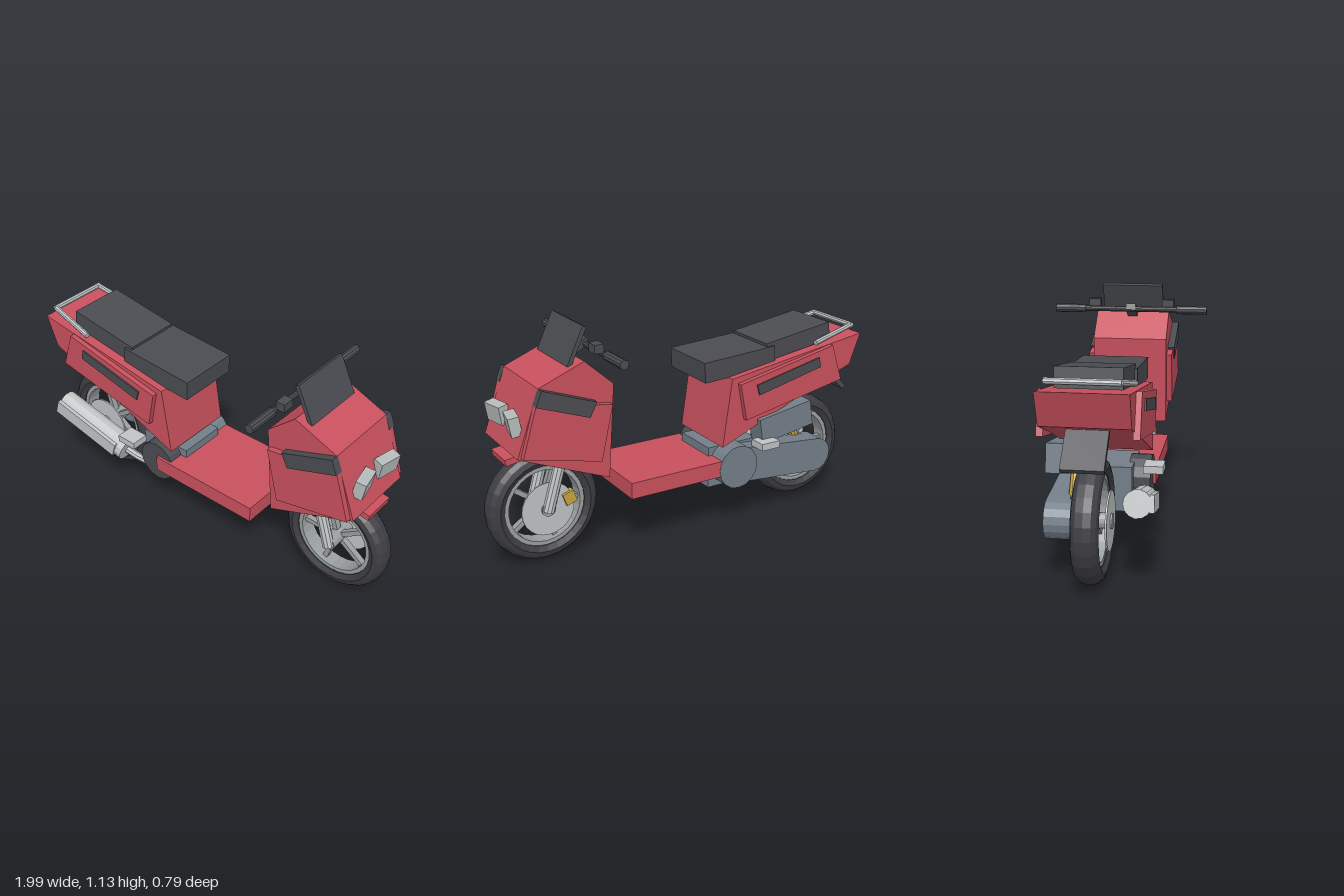
import * as THREE from 'three';

const mat = (name, color) => {
  const m = new THREE.MeshStandardMaterial({ color });
  m.name = name;
  return m;
};

export function createModel() {
  const red = mat('red paint', 0xc8505d);
  const dark = mat('dark trim', 0x4b4c51);
  const rubber = mat('tyre rubber', 0x3e3e43);
  const grey = mat('engine grey', 0x737e89);
  const light = mat('bright metal', 0xbfc3c4);
  const steel = mat('wheel steel', 0x9a9fa0);
  const lamp = mat('lamp glass', 0xb4bab9);
  const gold = mat('gold', 0xc6a43e);

  const model = new THREE.Group();
  model.name = 'scooter';

  const add = (name, geo, m, pos = [0, 0, 0], parent = model) => {
    const flat = geo.index ? geo.toNonIndexed() : geo;
    flat.computeVertexNormals(); // faceted look
    const mesh = new THREE.Mesh(flat, m);
    mesh.name = name;
    mesh.position.set(...pos);
    parent.add(mesh);
    return mesh;
  };
  const box = (name, m, size, pos, tilt = 0, parent = model) => {
    const mesh = add(name, new THREE.BoxGeometry(...size), m, pos, parent);
    mesh.rotation.z = tilt;
    return mesh;
  };
  // side outline extruded across the vehicle from z0 to z1
  const slab = (name, m, pts, z0, z1) => {
    const shape = new THREE.Shape(pts.map((p) => new THREE.Vector2(...p)));
    const geo = new THREE.ExtrudeGeometry(shape, { depth: z1 - z0, bevelEnabled: false });
    return add(name, geo, m, [0, 0, z0]);
  };
  // cylinder between two points
  const rod = (name, m, a, b, r0, r1 = r0, sides = 10, parent = model) => {
    const A = new THREE.Vector3(...a), B = new THREE.Vector3(...b);
    const d = B.clone().sub(A);
    const mesh = add(name, new THREE.CylinderGeometry(r1, r0, d.length(), sides), m, [0, 0, 0], parent);
    mesh.position.copy(A.add(B).multiplyScalar(0.5));
    mesh.quaternion.setFromUnitVectors(new THREE.Vector3(0, 1, 0), d.normalize());
    return mesh;
  };

  // Wheels: tyre, rim, hub, five spokes and a brake disc on one side
  const ring = (pts) => {
    const geo = new THREE.LatheGeometry(pts.map((p) => new THREE.Vector2(...p)), 28);
    return geo.rotateX(Math.PI / 2);
  };
  const wheel = (name, x, discSide) => {
    const g = new THREE.Group();
    g.name = name;
    g.position.set(x, 0.275, 0);
    model.add(g);
    add('tyre', ring([[0.198, -0.045], [0.225, -0.06], [0.25, -0.052], [0.267, -0.033], [0.273, 0],
      [0.267, 0.033], [0.25, 0.052], [0.225, 0.06], [0.198, 0.045], [0.198, -0.045]]), rubber, [0, 0, 0], g);
    add('rim', ring([[0.178, -0.04], [0.203, -0.04], [0.203, 0.04], [0.178, 0.04], [0.178, -0.04]]),
      steel, [0, 0, 0], g);
    rod('hub', steel, [0, 0, -0.085], [0, 0, 0.085], 0.035, 0.035, 12, g);
    for (let i = 0; i < 5; i++) {
      const a = Math.PI * (0.2 + 0.4 * i);
      box('spoke', steel, [0.17, 0.024, 0.03], [Math.cos(a) * 0.1, Math.sin(a) * 0.1, 0], a, g);
    }
    const z = 0.073 * discSide;
    rod('brakeDisc', light, [0, 0, z - 0.004], [0, 0, z + 0.004], 0.13, 0.13, 24, g);
  };
  wheel('frontWheel', 0.72, -1);
  wheel('rearWheel', -0.727, 1);
  box('frontCaliper', gold, [0.055, 0.06, 0.035], [0.615, 0.31, -0.073], -0.35);

  // Front shield, floor and tail
  slab('frontShield', red, [[0.43, 0.86], [0.46, 0.415], [0.9, 0.595], [0.79, 0.898], [0.57, 0.985]], -0.19, 0.19);
  box('floorBoard', red, [0.595, 0.08, 0.428], [0.062, 0.33, 0]);
  slab('tailBody', red, [[-0.985, 0.885], [-0.925, 0.73], [-0.72, 0.655], [-0.155, 0.43], [-0.205, 0.77]], -0.19, 0.19);
  box('frontFender', red, [0.17, 0.03, 0.16], [0.83, 0.555, 0], -0.15);
  box('mudFlap', dark, [0.25, 0.025, 0.18], [-0.895, 0.652, 0], 0.75);

  // Raised side panels and dark insets
  for (const s of [1, -1]) {
    const pair = (name, m, pts, inner, outer) =>
      slab(name, m, pts, s > 0 ? inner : -outer, s > 0 ? outer : -inner);
    pair('shieldPanel', red, [[0.45, 0.775], [0.51, 0.515], [0.885, 0.6], [0.815, 0.83]], 0.185, 0.218);
    pair('shieldInset', dark, [[0.53, 0.802], [0.565, 0.735], [0.818, 0.828], [0.79, 0.898]], 0.185, 0.225);
    pair('tailPanel', red, [[-0.79, 0.855], [-0.853, 0.668], [-0.275, 0.556], [-0.238, 0.743]], 0.185, 0.215);
    pair('tailInset', dark, [[-0.703, 0.807], [-0.714, 0.757], [-0.345, 0.674], [-0.33, 0.727]], 0.21, 0.222);

    // Headlights, fork legs, grips, switches, pegs, rail sides
    const head = box('headlight', lamp, [0.05, 0.088, 0.115], [0.872, 0.725, s * 0.086], -0.17);
    head.rotation.set(0, s * 0.2, -0.17);
    rod('forkLeg', light, [0.725, 0.265, s * 0.087], [0.625, 0.6, s * 0.087], 0.028);
    rod('grip', dark, [0.483, 1.008, s * 0.238], [0.483, 1.008, s * 0.395], 0.022);
    box('switchBox', dark, [0.045, 0.04, 0.06], [0.512, 1.038, s * 0.192]);
    box('footPeg', light, [0.105, 0.035, 0.09], [-0.388, 0.418, s * 0.223]);
    rod('railSide', light, [-0.955, 0.923, s * 0.148], [-0.71, 0.87, s * 0.175], 0.014, 0.014, 8);
  }
  rod('railRear', light, [-0.955, 0.923, -0.155], [-0.955, 0.923, 0.155], 0.014, 0.014, 8);

  // Handlebar and windscreen
  rod('handlebar', dark, [0.483, 1.008, -0.25], [0.483, 1.008, 0.25], 0.014);
  box('stem', dark, [0.13, 0.035, 0.05], [0.525, 0.993, 0], -0.48);
  box('windscreen', dark, [0.02, 0.19, 0.315], [0.588, 1.043, 0], 0.44);

  // Two-part seat
  box('rearSeat', dark, [0.385, 0.09, 0.285], [-0.631, 0.882, 0], -0.148);
  box('frontSeat', dark, [0.405, 0.1, 0.31], [-0.275, 0.823, 0], -0.06);

  // Engine, clutch cover and drive case
  box('engineBlock', grey, [0.28, 0.21, 0.245], [-0.257, 0.308, 0]);
  rod('clutchCover', dark, [-0.247, 0.33, 0.1], [-0.247, 0.33, 0.2], 0.105, 0.105, 14);
  const F = [-0.235, 0.32, 0.11], R = [-0.727, 0.275, 0.088];
  rod('caseFront', grey, [F[0], F[1], -0.216], [F[0], F[1], -0.11], F[2], F[2], 16);
  rod('caseRear', grey, [R[0], R[1], -0.2], [R[0], R[1], -0.08], R[2], R[2], 16);
  slab('driveCase', grey, [[R[0], R[1] - R[2]], [F[0], F[1] - 0.09], [F[0], F[1] + 0.09], [R[0], R[1] + R[2]]], -0.2, -0.1);
  box('airFilter', grey, [0.31, 0.13, 0.1], [-0.52, 0.5, -0.165], -0.16);
  rod('shockSpring', gold, [-0.68, 0.33, -0.09], [-0.52, 0.62, -0.09], 0.027);
  rod('shockRod', light, [-0.7, 0.29, -0.09], [-0.5, 0.655, -0.09], 0.012);

  // Exhaust
  rod('muffler', light, [-0.885, 0.41, 0.208], [-0.465, 0.288, 0.187], 0.06, 0.065, 14);
  const shield = box('heatShield', light, [0.4, 0.075, 0.02], [-0.69, 0.357, 0.258], -0.28);
  shield.rotation.y = 0.05;
  const pipe = new THREE.CatmullRomCurve3([[-0.48, 0.285, 0.187], [-0.36, 0.26, 0.17],
    [-0.24, 0.25, 0.11], [-0.15, 0.28, 0.08]].map((p) => new THREE.Vector3(...p)));
  add('exhaustPipe', new THREE.TubeGeometry(pipe, 12, 0.02, 8), light);

  return model;
}
